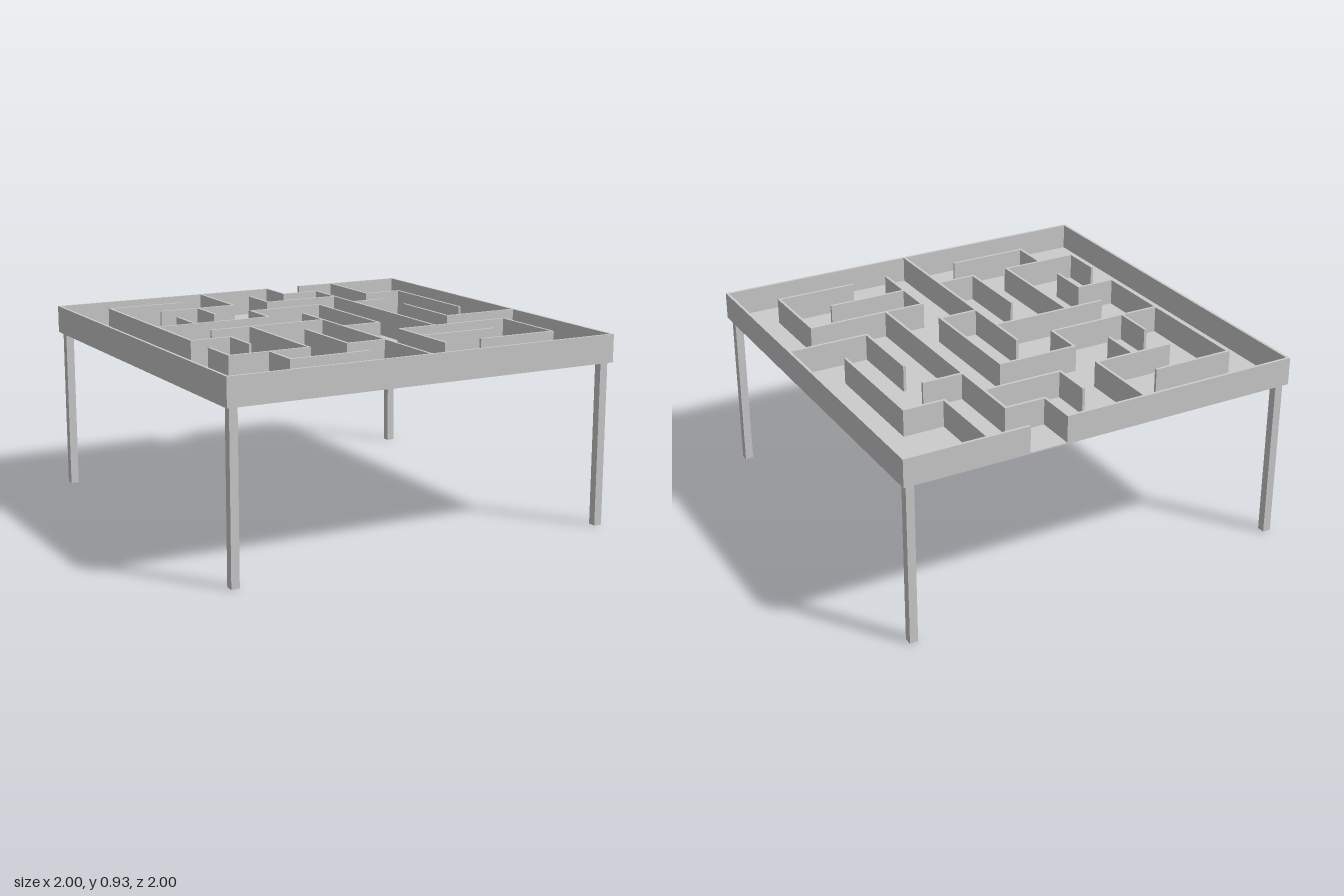
import * as THREE from 'three';

const TOP = 0.93;          // top of the walls
const FLOOR = 0.795;       // underside of the table top
const PLATE = 0.006;       // table top thickness
const WALL = 0.0135;       // wall thickness
const CELL = (2 - WALL) / 10;

// Runs along x: [z line, from, to], in cells from the centre
const ROWS = [
  [-4, -4, -2], [-4, 1, 2],
  [-3, -3, -1], [-3, 0, 2], [-3, 3, 4],
  [-2, -1, 1], [-2, 2, 3],
  [-1, -4, -1],
  [0, -3, 0],
  [1, -4, -3], [1, 0, 1], [1, 3, 5],
  [2, 1, 4],
  [3, -4, -2], [3, -1, 0], [3, 1, 3],
  [4, -3, -1], [4, 2, 4],
];

// Runs along z: [x line, from, to]
const COLUMNS = [
  [-4, -4, 1], [-4, 2, 3],
  [-3, -2, -1], [-3, 1, 2], [-3, 3, 4],
  [-2, -3, -2], [-2, 0, 3],
  [-1, -5, -3], [-1, -2, -1], [-1, 1, 3],
  [0, -4, -3], [0, -1, 5],
  [1, -5, -4], [1, -2, 1], [1, 2, 4],
  [2, -4, 2],
  [3, -5, -3], [3, -1, 1],
  [4, -3, 0], [4, 2, 4],
];

// Outer frame, with the entrance gap in the back
const FRAME_ROWS = [[-5, -5, 1], [-5, 2, 5], [5, -5, 5]];
const FRAME_COLUMNS = [[-5, -5, 5], [5, -5, 5]];

export function createModel() {
  const model = new THREE.Group();
  model.name = 'mazeTable';
  const material = new THREE.MeshStandardMaterial({ color: 0xcccccc, flatShading: true });

  function box(parent, name, w, h, d, x, y, z) {
    const mesh = new THREE.Mesh(new THREE.BoxGeometry(w, h, d), material);
    mesh.name = name;
    mesh.position.set(x, y, z);
    parent.add(mesh);
  }

  function walls(name, rows, columns) {
    const group = new THREE.Group();
    group.name = name;
    const base = FLOOR + PLATE;
    const h = TOP - base;
    const y = base + h / 2;
    for (const [line, a, b] of rows)
      box(group, 'wallAcross', (b - a) * CELL + WALL, h, WALL, (a + b) / 2 * CELL, y, line * CELL);
    for (const [line, a, b] of columns)
      box(group, 'wallAlong', WALL, h, (b - a) * CELL + WALL, line * CELL, y, (a + b) / 2 * CELL);
    model.add(group);
  }

  // Table top
  box(model, 'tableTop', 2, PLATE, 2, 0, FLOOR + PLATE / 2, 0);

  // Frame and maze
  walls('outerFrame', FRAME_ROWS, FRAME_COLUMNS);
  walls('mazeWalls', ROWS, COLUMNS);

  // Legs
  for (const x of [-1, 1])
    for (const z of [-1, 1])
      box(model, (z > 0 ? 'front' : 'back') + (x > 0 ? 'Left' : 'Right') + 'Leg',
        0.04, FLOOR, 0.04, x * 0.962, FLOOR / 2, z * 0.962);

  return model;
}
